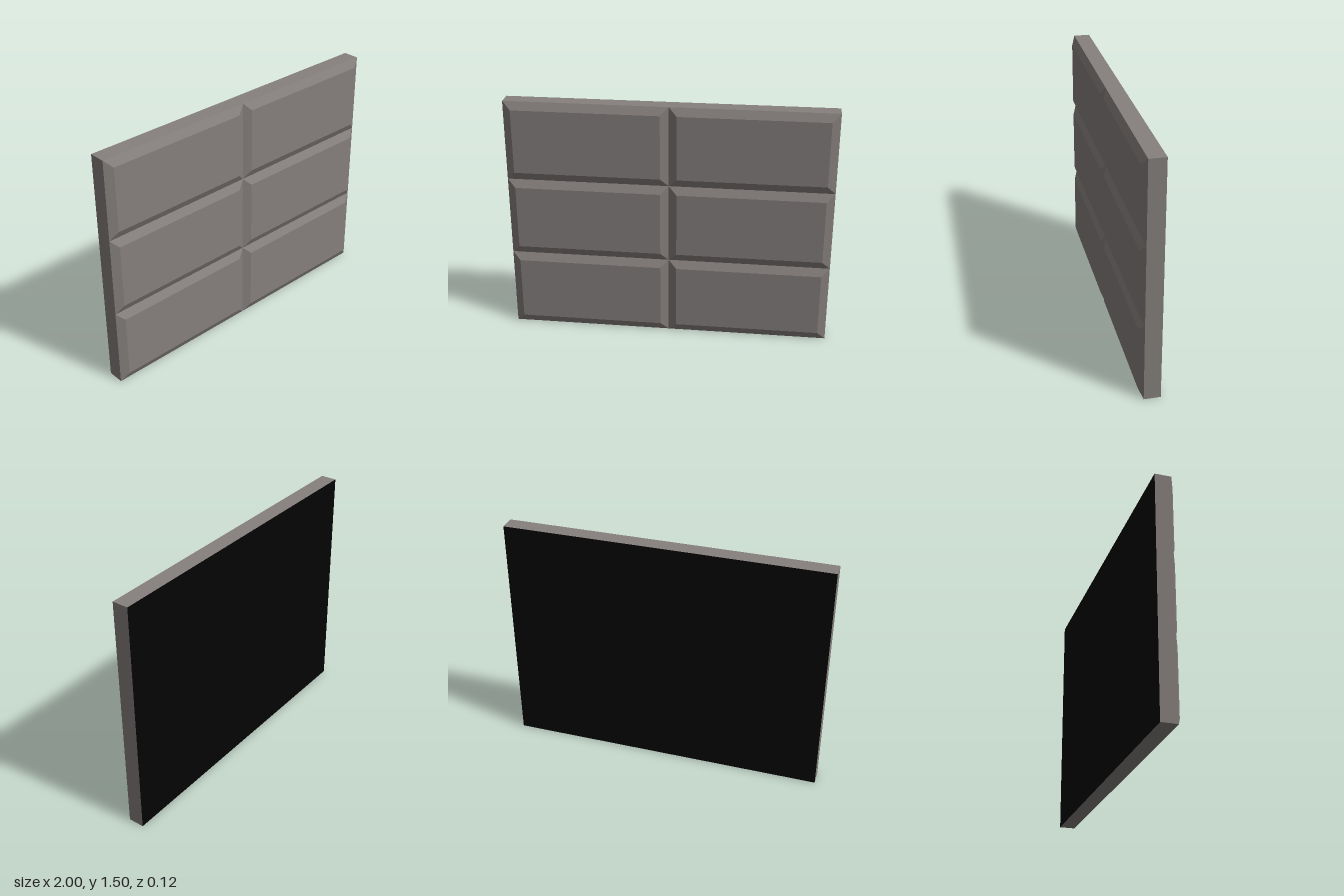
import * as THREE from 'three';

const WIDTH = 2, HEIGHT = 1.5, COLS = 2, ROWS = 3;
const BACK_Z = -0.0625, GROOVE_Z = 0.0375, FRONT_Z = 0.0625, BEVEL = 0.05;

// Raised tile: a box whose front face is drawn in to form the bevels
function bevelledTile(w, h, depth) {
  const geo = new THREE.BoxGeometry(w, h, depth);
  const pos = geo.attributes.position;
  for (let i = 0; i < pos.count; i++) {
    if (pos.getZ(i) > 0) {
      pos.setX(i, pos.getX(i) - Math.sign(pos.getX(i)) * BEVEL);
      pos.setY(i, pos.getY(i) - Math.sign(pos.getY(i)) * BEVEL);
    }
  }
  geo.computeVertexNormals();
  return geo;
}

export function createModel() {
  const model = new THREE.Group();
  model.name = 'tiledPanel';

  const stone = new THREE.MeshStandardMaterial({ color: 0x86807e });
  stone.name = 'warm grey';
  const backing = new THREE.MeshStandardMaterial({ color: 0x040404 });
  backing.name = 'black backing';

  // Flat slab with a black rear face
  const slabDepth = GROOVE_Z - BACK_Z;
  const slab = new THREE.Mesh(
    new THREE.BoxGeometry(WIDTH, HEIGHT, slabDepth),
    [stone, stone, stone, stone, stone, backing]
  );
  slab.name = 'slab';
  slab.position.set(0, HEIGHT / 2, (GROOVE_Z + BACK_Z) / 2);
  model.add(slab);

  // Grid of bevelled tiles meeting in V-shaped grooves
  const w = WIDTH / COLS, h = HEIGHT / ROWS;
  const tileGeo = bevelledTile(w, h, FRONT_Z - GROOVE_Z);
  const tiles = new THREE.Group();
  tiles.name = 'tiles';
  for (let row = 0; row < ROWS; row++) {
    for (let col = 0; col < COLS; col++) {
      const tile = new THREE.Mesh(tileGeo, stone);
      tile.name = `tileRow${row + 1}Column${col + 1}`;
      tile.position.set((col + 0.5) * w - WIDTH / 2, (row + 0.5) * h, (GROOVE_Z + FRONT_Z) / 2);
      tiles.add(tile);
    }
  }
  model.add(tiles);
  return model;
}
